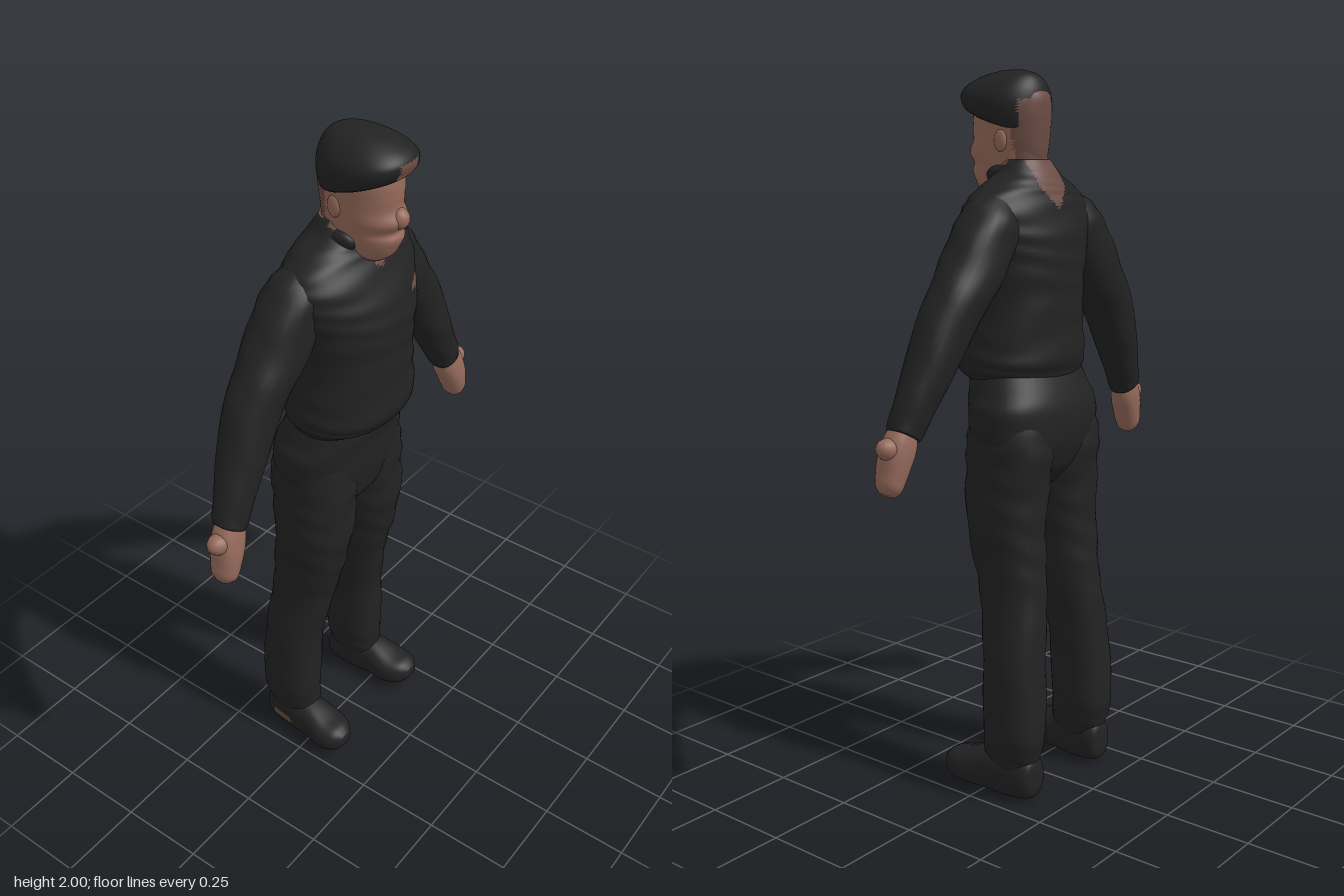
import * as THREE from 'three';

const V = (x, y, z) => new THREE.Vector3(x, y, z);
const X = V(1, 0, 0), Y = V(0, 1, 0), Z = V(0, 0, 1);

// Catmull-Rom interpolation between the rows of a cross-section list
function refine(rows, steps) {
  const out = [];
  for (let i = 0; i < rows.length - 1; i++) {
    const a = rows[Math.max(i - 1, 0)], b = rows[i], c = rows[i + 1], d = rows[Math.min(i + 2, rows.length - 1)];
    for (let k = 0; k < steps; k++) {
      const t = k / steps;
      out.push(b.map((v, j) => {
        const cubic = 3 * (v - c[j]) + d[j] - a[j];
        const square = 2 * a[j] - 5 * v + 4 * c[j] - d[j];
        return v + 0.5 * t * (c[j] - a[j] + t * (square + t * cubic));
      }));
    }
  }
  out.push(rows[rows.length - 1]);
  return out;
}

// Skin rings [x, y, z, ru, rv]; rings must progress along u x v.
// pick(centroid) chooses the material of each face.
function loft(rows, u, v, { n = 32, steps = 5, power = 2.2, fold = 0, pick = () => 0, warp } = {}) {
  const rings = refine(rows, steps), pos = [], faces = [];
  const put = (p) => { if (warp) warp(p); pos.push(p.x, p.y, p.z); };
  const curve = (c) => Math.sign(c) * Math.pow(Math.abs(c), 2 / power);
  rings.forEach(([x, y, z, ru, rv], i) => {
    for (let j = 0; j < n; j++) {
      const a = j / n * Math.PI * 2;
      const f = 1 + fold * Math.sin(i * 0.9 + 2.3 * Math.sin(a * 2 + i * 0.2));
      put(V(x, y, z).addScaledVector(u, ru * f * curve(Math.cos(a))).addScaledVector(v, rv * f * curve(Math.sin(a))));
    }
  });
  const m = rings.length, first = rings[0], last = rings[m - 1];
  put(V(first[0], first[1], first[2]));
  put(V(last[0], last[1], last[2]));
  for (let j = 0; j < n; j++) {
    const k = (j + 1) % n;
    faces.push([m * n, k, j], [m * n + 1, (m - 1) * n + j, (m - 1) * n + k]);
    for (let i = 0; i < m - 1; i++) {
      const a = i * n + j, b = i * n + k;
      faces.push([a, b, b + n], [a, b + n, a + n]);
    }
  }
  const buckets = [[], [], []];
  for (const f of faces) {
    const c = V(0, 0, 0);
    for (const q of f) c.add(V(pos[q * 3], pos[q * 3 + 1], pos[q * 3 + 2]));
    buckets[pick(c.divideScalar(3))].push(...f);
  }
  const g = new THREE.BufferGeometry();
  g.setAttribute('position', new THREE.Float32BufferAttribute(pos, 3));
  g.setIndex(buckets.flat());
  let start = 0;
  buckets.forEach((b, i) => { if (b.length) g.addGroup(start, b.length, i); start += b.length; });
  g.computeVertexNormals();
  return g;
}

// Upright body sections [y, zFront, zBack, halfWidth, x]
const upright = (rows) => rows.map(([y, f, b, w, x = 0]) => [x, y, (f + b) / 2, (f - b) / 2, w]);

export function createModel() {
  const root = new THREE.Group();
  const material = (name, color) => Object.assign(new THREE.MeshStandardMaterial({ color }), { name });
  const cloth = material('black cloth', 0x222222);
  const skin = material('skin', 0x94695a);
  const shade = material('dark skin', 0x6b4c44);
  const mats = [cloth, skin, shade];
  const add = (name, geometry, mat = mats) => {
    const mesh = new THREE.Mesh(geometry, mat);
    mesh.name = name;
    root.add(mesh);
    return mesh;
  };
  const blob = (name, mat, x, y, z, rx, ry, rz, roll = 0) => {
    const mesh = add(name, new THREE.SphereGeometry(1, 20, 14), mat);
    mesh.position.set(x, y, z);
    mesh.scale.set(rx, ry, rz);
    mesh.rotation.z = roll;
  };

  // Blouse, with open collar, bare nape and chest badge
  add('blouse', loft(upright([
    [1.17, 0.10, -0.12, 0.165], [1.19, 0.145, -0.13, 0.188], [1.23, 0.165, -0.145, 0.2], [1.31, 0.163, -0.143, 0.19],
    [1.41, 0.163, -0.144, 0.187], [1.5, 0.163, -0.145, 0.2], [1.57, 0.145, -0.14, 0.22], [1.63, 0.118, -0.125, 0.225],
    [1.67, 0.095, -0.112, 0.2], [1.7, 0.078, -0.1, 0.155], [1.73, 0.066, -0.085, 0.1], [1.765, 0.05, -0.065, 0.07],
  ]), Z, X, {
    n: 88, steps: 7, power: 2.15, fold: 0.01,
    pick: (c) => {
      if (c.z < -0.02 && Math.abs(c.x - 0.004) < Math.min(0.054, (c.y - 1.635) * 0.95)) return 2;
      if (c.z > 0 && Math.abs(c.x) < (c.y - 1.638) * 0.7) return 2;
      return c.z > 0 && Math.hypot((c.x - 0.135) / 0.038, (c.y - 1.552) / 0.016) < 1 ? 2 : 0;
    },
  }));

  // Trouser seat
  add('trouserSeat', loft(upright([
    [0.88, 0.04, -0.09, 0.06], [0.92, 0.07, -0.125, 0.15], [0.97, 0.085, -0.15, 0.2], [1.03, 0.095, -0.163, 0.213],
    [1.1, 0.1, -0.162, 0.216], [1.15, 0.108, -0.145, 0.198], [1.21, 0.11, -0.12, 0.175],
  ]), Z, X, { n: 44, power: 2.4, fold: 0.006 }));

  for (const s of [1, -1]) {
    const side = s > 0 ? 'left' : 'right';

    // Trouser leg, from the ankle up
    const leg = [
      [0.08, -0.015, -0.145, 0.05, 0.162], [0.12, -0.003, -0.165, 0.06, 0.16], [0.2, 0, -0.183, 0.074, 0.161],
      [0.4, 0.003, -0.172, 0.078, 0.152], [0.58, 0.035, -0.157, 0.08, 0.126], [0.7, 0.065, -0.147, 0.088, 0.122],
      [0.82, 0.085, -0.143, 0.1, 0.117], [0.92, 0.088, -0.15, 0.104, 0.109], [1.01, 0.088, -0.157, 0.101, 0.108],
      [1.1, 0.07, -0.13, 0.085, 0.105],
    ].map(([y, f, b, w, x]) => [y, f, b, w, x * s]);
    add(side + 'TrouserLeg', loft(upright(leg), Z, X, { steps: 7, power: 2.3, fold: 0.02 }));

    // Shoe, from heel to toe, with a worn patch on the right one
    const shoe = [
      [0.16, 0.07, -0.17, 0.02, 0.03], [0.16, 0.07, -0.155, 0.046, 0.06], [0.164, 0.072, -0.08, 0.056, 0.071],
      [0.169, 0.07, -0.01, 0.056, 0.065], [0.174, 0.06, 0.06, 0.064, 0.05], [0.178, 0.06, 0.105, 0.05, 0.04],
      [0.179, 0.064, 0.13, 0.022, 0.018],
    ].map(([x, ...r]) => [x * s, ...r]);
    add(side + 'Shoe', loft(shoe, X, Y, {
      n: 48, power: 2.4,
      pick: (c) => (c.x < -0.19 && Math.abs(c.z + 0.095) < 0.035 && Math.abs(c.y - 0.06) < 0.013 ? 2 : 0),
    }));

    // Sleeve, from shoulder to cuff
    const down = V(0.48 * s, -0.877, 0), across = down.clone().cross(Z);
    const sleeve = [
      [0.13, 1.65, -0.02, 0.055, 0.06], [0.165, 1.61, -0.024, 0.077, 0.083], [0.21, 1.552, -0.027, 0.083, 0.088],
      [0.277, 1.458, -0.028, 0.08, 0.085], [0.354, 1.36, -0.028, 0.071, 0.075], [0.43, 1.22, -0.018, 0.06, 0.061],
      [0.48, 1.12, -0.007, 0.048, 0.052], [0.498, 1.083, -0.003, 0.042, 0.047],
    ].map(([x, ...r]) => [x * s, ...r]);
    add(side + 'Sleeve', loft(sleeve, Z, across, { n: 28, fold: 0.025 }));

    // Hand with a thumb pointing outwards
    const hand = [
      [0.49, 1.1, 0, 0.032, 0.036], [0.506, 1.06, 0.002, 0.04, 0.047], [0.522, 1.02, 0.006, 0.043, 0.044],
      [0.534, 0.98, 0.009, 0.04, 0.037], [0.543, 0.952, 0.01, 0.034, 0.031], [0.548, 0.935, 0.01, 0.018, 0.017],
    ].map(([x, ...r]) => [x * s, ...r]);
    add(side + 'Hand', loft(hand, Z, across, { n: 20, power: 2.4 }), skin);
    blob(side + 'Thumb', skin, 0.54 * s, 1.054, 0.003, 0.044, 0.03, 0.03, 0.25 * s);

    // Ear and collar flap
    blob(side + 'Ear', skin, 0.078 * s, 1.815, 0.02, 0.01, 0.03, 0.02);
    blob(side + 'CollarFlap', cloth, 0.064 * s, 1.722, 0.03, 0.024, 0.03, 0.045, -0.5 * s);
  }

  // Neck and head
  add('neck', loft(upright([
    [1.64, 0.06, -0.07, 0.065], [1.72, 0.06, -0.062, 0.063], [1.82, 0.06, -0.062, 0.066],
  ]), Z, X, { pick: (c) => (c.z < 0 || c.y < 1.73 ? 2 : 1) }));
  add('head', loft(upright([
    [1.665, 0.11, 0.06, 0.025], [1.685, 0.138, 0.03, 0.05], [1.715, 0.156, -0.01, 0.064], [1.738, 0.164, -0.045, 0.07],
    [1.757, 0.157, -0.058, 0.074], [1.785, 0.172, -0.065, 0.078], [1.815, 0.158, -0.068, 0.081],
    [1.85, 0.158, -0.071, 0.083], [1.89, 0.155, -0.073, 0.085], [1.935, 0.14, -0.068, 0.075], [1.965, 0.09, -0.035, 0.045],
  ]), Z, X, { n: 40, pick: (c) => (c.z < -0.015 ? 2 : 1) }));
  blob('nose', skin, 0.003, 1.79, 0.155, 0.026, 0.028, 0.028);

  // Cap, lifted at the front and low at the sides and back, baring the hairline
  add('cap', loft(upright([
    [1.865, 0.15, -0.045, 0.088], [1.875, 0.175, -0.055, 0.102], [1.9, 0.187, -0.062, 0.11], [1.93, 0.186, -0.066, 0.108],
    [1.96, 0.165, -0.06, 0.09], [1.985, 0.125, -0.04, 0.06], [1.997, 0.08, -0.005, 0.03], [2.0, 0.06, 0.01, 0.012],
  ]), Z, X, {
    n: 56,
    warp: (p) => { p.y += 0.28 * (p.z - 0.06) * Math.max(0, 1.99 - p.y) / 0.12; },
    pick: (c) => {
      if (c.z > 0.12 && Math.abs(c.x) < 0.036 && c.y < 1.945) return c.y < 1.918 ? 1 : 2;
      return c.z < -0.035 && c.y < 1.92 ? 2 : 0;
    },
  }));
  return root;
}
